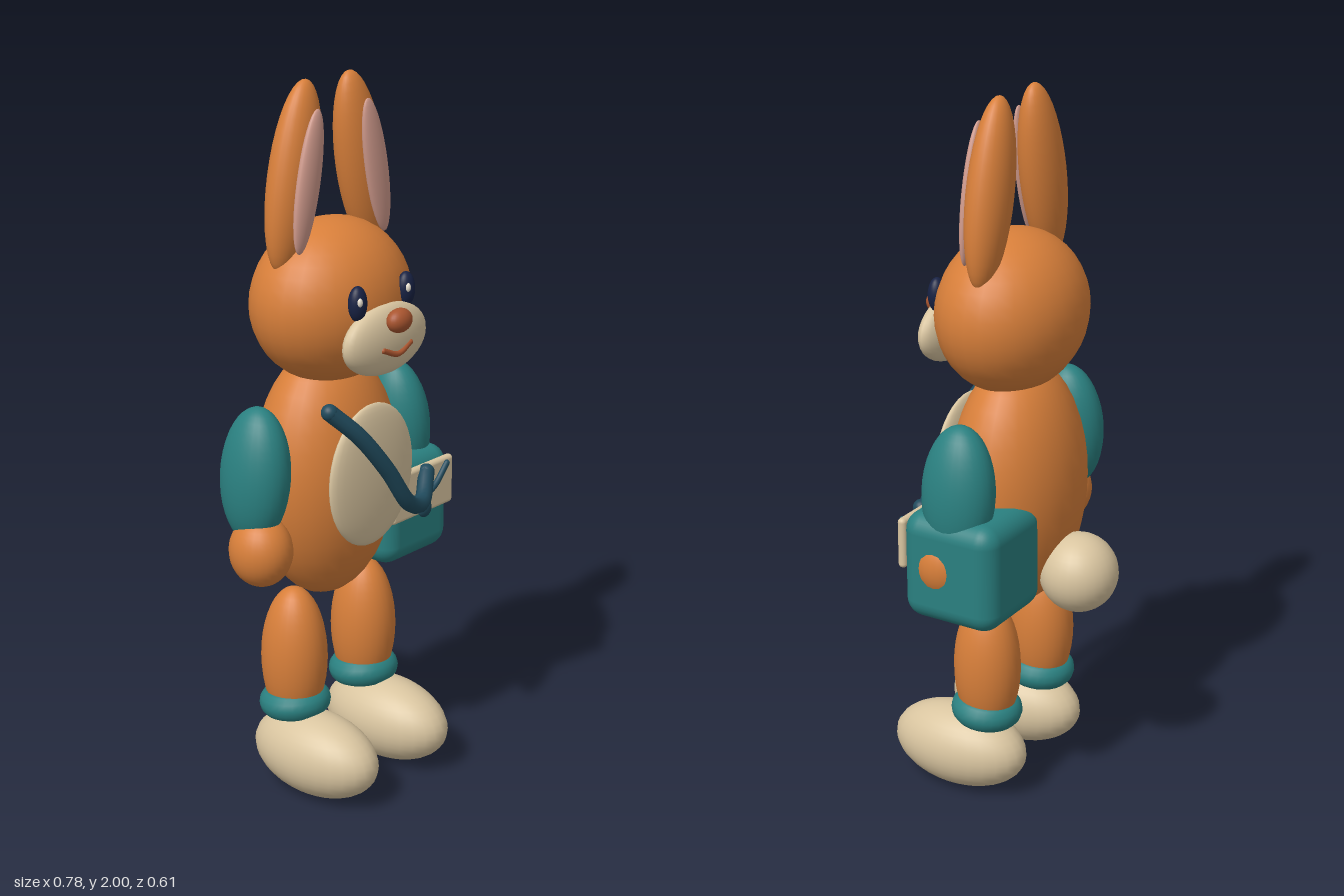
import * as THREE from 'three';
import { RoundedBoxGeometry } from 'three/addons/geometries/RoundedBoxGeometry.js';

const mat = (name, color) => {
  const m = new THREE.MeshStandardMaterial({ color });
  m.name = name;
  return m;
};

export function createModel() {
  const orange = mat('orange fur', 0xd87f3a);
  const cream = mat('cream fur', 0xd9c5a0);
  const teal = mat('teal cloth', 0x2a8080);
  const pink = mat('pink inner ear', 0xd09a8c);
  const rust = mat('rust nose', 0xa9552f);
  const slate = mat('dark strap', 0x204a5c);
  const navy = mat('navy eye', 0x182244);
  const white = mat('eye highlight', 0xefe6d6);

  const root = new THREE.Group();
  root.name = 'rabbit';

  const add = (name, geometry, material, pos = [0, 0, 0]) => {
    const mesh = new THREE.Mesh(geometry, material);
    mesh.name = name;
    mesh.position.set(...pos);
    root.add(mesh);
    return mesh;
  };
  const ball = (name, material, pos, radii, tilt = 0) => {
    const mesh = add(name, new THREE.SphereGeometry(1, 28, 20), material, pos);
    mesh.scale.set(...radii);
    mesh.rotation.z = tilt;
    return mesh;
  };
  // Tube through points, closed by a ball at each end
  const cord = (name, material, points, radius) => {
    const pts = points.map((p) => new THREE.Vector3(...p));
    add(name, new THREE.TubeGeometry(new THREE.CatmullRomCurve3(pts), 36, radius, 10), material);
    for (const p of [points[0], points[points.length - 1]]) {
      ball(name + 'End', material, p, [radius, radius, radius]);
    }
  };

  // Torso and tail
  ball('body', orange, [0, 0.9, -0.003], [0.235, 0.36, 0.176]);
  ball('belly', cream, [0, 0.925, 0.162], [0.17, 0.203, 0.032]);
  ball('tail', cream, [0, 0.668, -0.198], [0.111, 0.112, 0.111]);

  // Head and face
  ball('head', orange, [0, 1.395, 0.015], [0.248, 0.225, 0.196]);
  ball('muzzle', cream, [0, 1.32, 0.205], [0.163, 0.097, 0.048]);
  ball('nose', rust, [0, 1.38, 0.255], [0.042, 0.033, 0.029]);
  cord('mouth', rust, [[-0.055, 1.307, 0.247], [0, 1.288, 0.252], [0.055, 1.307, 0.247]], 0.008);

  // Mirrored parts
  for (const s of [-1, 1]) {
    const side = s > 0 ? 'left' : 'right';
    ball(side + 'Ear', orange, [s * 0.134, 1.747, 0.002], [0.079, 0.255, 0.057], s * 0.2);
    ball(side + 'InnerEar', pink, [s * 0.135, 1.742, 0.057], [0.042, 0.19, 0.019], s * 0.2);
    ball(side + 'Eye', navy, [s * 0.098, 1.434, 0.194], [0.028, 0.048, 0.024]);
    ball(side + 'EyeHighlight', white, [s * 0.098 - 0.012, 1.443, 0.213], [0.008, 0.012, 0.007]);
    ball(side + 'Sleeve', teal, [s * 0.293, 0.965, 0.006], [0.082, 0.19, 0.105], s * 0.09);
    ball(side + 'Hand', orange, [s * 0.306, 0.762, 0.036], [0.084, 0.1, 0.09]);
    ball(side + 'Leg', orange, [s * 0.147, 0.39, 0.01], [0.09, 0.207, 0.096]);
    const cuff = add(side + 'Cuff', new THREE.TorusGeometry(0.06, 0.041, 14, 28), teal,
      [s * 0.147, 0.254, 0.012]);
    cuff.rotation.x = Math.PI / 2 - 0.1;
    ball(side + 'Foot', cream, [s * 0.153, 0.12, 0.097], [0.117, 0.12, 0.208]);
  }

  // Shoulder bag
  add('bag', new RoundedBoxGeometry(0.283, 0.308, 0.29, 4, 0.055), teal, [0.237, 0.756, -0.001]);
  add('bagFlap', new RoundedBoxGeometry(0.265, 0.145, 0.025, 3, 0.012), cream, [0.233, 0.812, 0.147]);
  ball('bagButton', slate, [0.232, 0.758, 0.163], [0.026, 0.026, 0.014]);
  cord('bagTrim', slate, [[0.14, 0.815, 0.163], [0.215, 0.797, 0.166], [0.27, 0.815, 0.166], [0.328, 0.868, 0.163]], 0.009);
  cord('strap', slate, [[-0.175, 1.148, 0.165], [-0.1, 1.07, 0.205], [-0.015, 0.96, 0.23],
    [0.075, 0.838, 0.236], [0.155, 0.812, 0.215], [0.235, 0.868, 0.165]], 0.023);

  return root;
}
